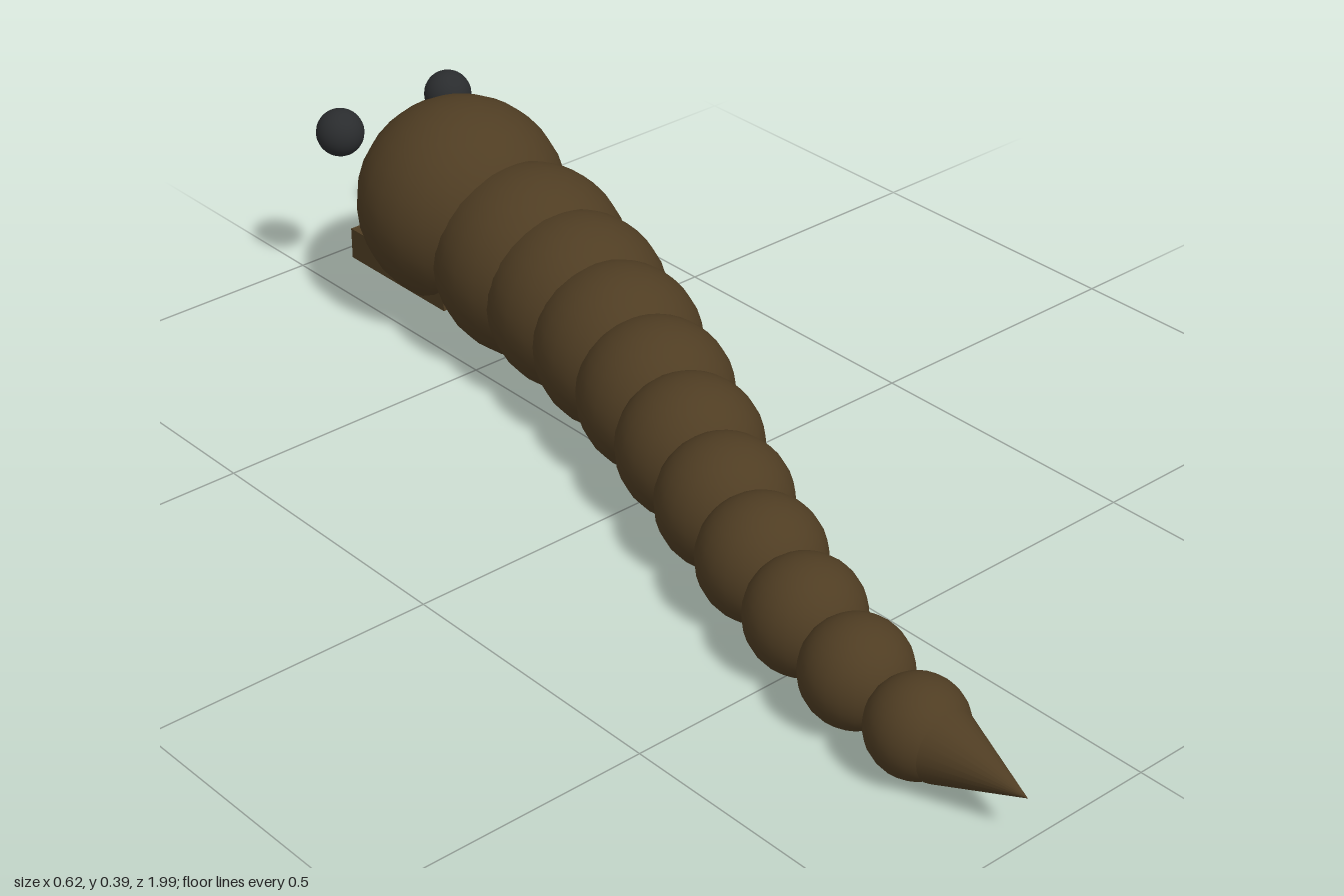
import * as THREE from 'three';

export function createModel() {
  const model = new THREE.Group();
  const brown = new THREE.MeshStandardMaterial({ name: 'brown skin', color: 0x4f3d23 });
  const dark = new THREE.MeshStandardMaterial({ name: 'dark eye', color: 0x2a2c2e });
  const red = new THREE.MeshStandardMaterial({ name: 'red tongue', color: 0x7a2a22 });

  function add(name, geometry, material, x, y, z) {
    const mesh = new THREE.Mesh(geometry, material);
    mesh.name = name;
    mesh.position.set(x, y, z);
    model.add(mesh);
    return mesh;
  }
  const ball = (r) => new THREE.SphereGeometry(r, 24, 16);

  // Body: a curved row of balls resting on the ground, growing towards the head
  const bendX = [-0.235, -0.215, -0.18, -0.134, -0.079, -0.022, 0.032, 0.076, 0.109, 0.127];
  const radii = [0.078, 0.086, 0.094, 0.102, 0.11, 0.12, 0.13, 0.142, 0.154, 0.168];
  radii.forEach((r, i) => {
    add('bodySegment' + (i + 1), ball(r), brown, bendX[i], r + 0.002, 0.787 - i * 0.143);
  });

  // Pointed tail
  const tail = add('tailTip', new THREE.ConeGeometry(0.058, 0.156, 24), brown, -0.235, 0.075, 0.92);
  tail.rotation.x = Math.PI / 2;

  // Head and flat lower jaw
  const headX = 0.127;
  add('head', ball(0.183), brown, headX, 0.213, -0.687);
  add('lowerJaw', new THREE.BoxGeometry(0.245, 0.057, 0.26), brown, headX, 0.106, -0.72);

  // Eyes
  for (const side of [-1, 1]) {
    add(side > 0 ? 'leftEye' : 'rightEye', ball(0.042), dark, headX + side * 0.118, 0.312, -0.873);
  }

  // Flattened pointed tongue
  const tongueShape = new THREE.ConeGeometry(0.04, 0.25, 16);
  tongueShape.rotateX(-Math.PI / 2);
  tongueShape.scale(1, 0.6, 1);
  add('tongue', tongueShape, red, headX, 0.122, -0.87);

  return model;
}
